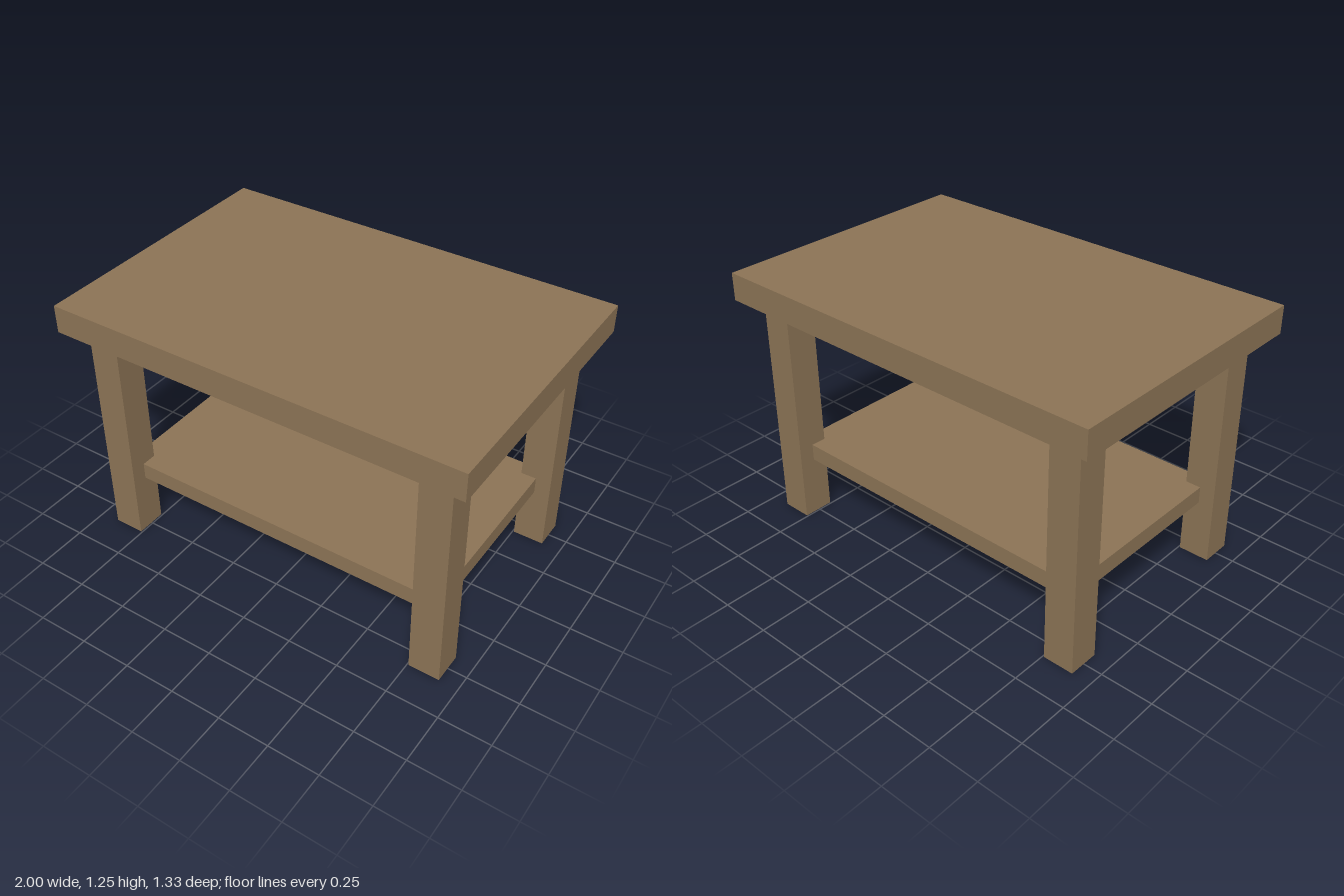
import * as THREE from 'three';

export function createModel() {
  const table = new THREE.Group();
  table.name = 'table';

  const wood = new THREE.MeshStandardMaterial({ color: 0x8b7355 });
  wood.name = 'brown wood';

  // A board or post standing on the height yBottom
  const addBlock = (name, width, height, depth, x, yBottom, z) => {
    const mesh = new THREE.Mesh(new THREE.BoxGeometry(width, height, depth), wood);
    mesh.name = name;
    mesh.position.set(x, yBottom + height / 2, z);
    table.add(mesh);
  };

  const legX = 0.832, legZ = 0.502, legWidth = 0.15, legHeight = 1.12;

  // Thick top overhanging the legs
  addBlock('tableTop', 2, 0.133, 1.333, 0, legHeight, 0);

  // Lower shelf, its corners let into the middle of each leg
  addBlock('shelf', legX * 2, 0.083, legZ * 2, 0, 0.292, 0);

  // Four square legs
  for (const [side, sx] of [['Left', 1], ['Right', -1]]) {
    for (const [end, sz] of [['front', 1], ['back', -1]]) {
      addBlock(`${end}${side}Leg`, legWidth, legHeight, legWidth, sx * legX, 0, sz * legZ);
    }
  }

  return table;
}
